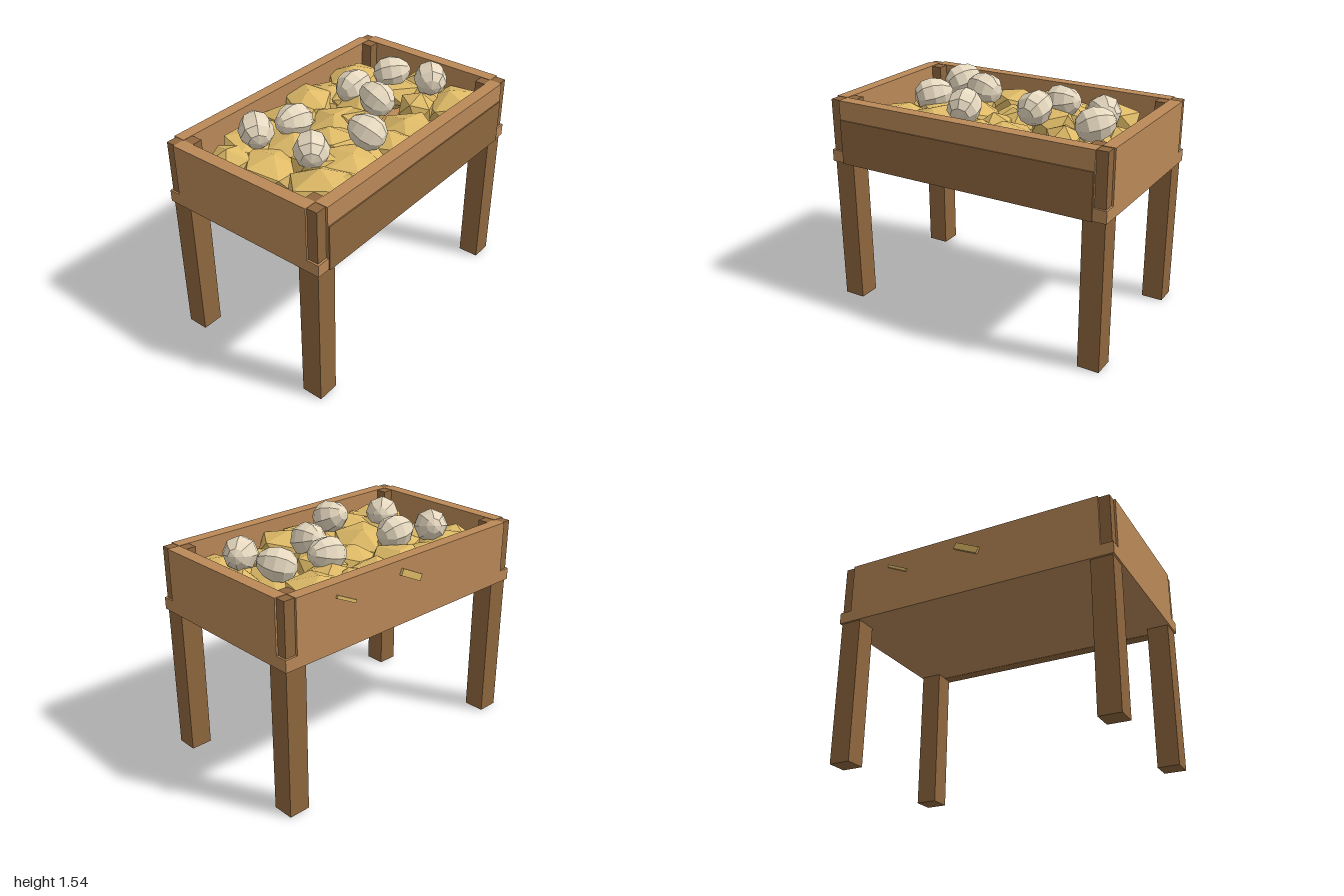
import * as THREE from 'three';

const mat = (name, color, flatShading = false) => {
  const m = new THREE.MeshStandardMaterial({ color, flatShading });
  m.name = name;
  return m;
};

export function createModel() {
  const model = new THREE.Group();
  model.name = 'nestingTable';
  const lightWood = mat('lightWood', 0xba8958);
  const darkWood = mat('darkWood', 0x8f673e);
  const straw = mat('straw', 0xdeba67, true);
  const shell = mat('eggShell', 0xf0e2c8, true);

  // Box given by its minimum and maximum corners
  const box = (name, material, [x0, y0, z0], [x1, y1, z1], parent = model) => {
    const mesh = new THREE.Mesh(new THREE.BoxGeometry(x1 - x0, y1 - y0, z1 - z0), material);
    mesh.position.set((x0 + x1) / 2, (y0 + y1) / 2, (z0 + z1) / 2);
    mesh.name = name;
    parent.add(mesh);
    return mesh;
  };

  // Tray floor and walls, with notched corners that show the posts
  box('trayFloor', lightWood, [-1, 1, -0.595], [1, 1.08, 0.605]);
  box('backWall', lightWood, [-0.915, 1.08, -0.595], [0.915, 1.43, -0.515]);
  box('frontWall', lightWood, [-0.915, 1.08, 0.52], [0.915, 1.43, 0.605]);
  box('frontBoard', darkWood, [-0.91, 0.998, 0.53], [0.91, 1.3, 0.613]);
  box('rightWall', lightWood, [-1, 1.08, -0.515], [-0.915, 1.43, 0.52]);
  box('leftWall', lightWood, [0.915, 1.08, -0.515], [1, 1.43, 0.52]);

  // Legs run up through the corners
  for (const sx of [-1, 1]) for (const sz of [-1, 1]) {
    const x = sx * 0.915, z = sz * 0.514 + 0.005;
    box('leg', darkWood, [x - 0.073, 0, z - 0.072], [x + 0.073, 1.427, z + 0.072]);
  }

  // Straw: overlapping flattened low-poly clumps [x, z, radius]
  const clumps = [
    [-0.75, -0.3, 0.16], [-0.57, -0.33, 0.18], [-0.38, -0.37, 0.18], [-0.13, -0.37, 0.22],
    [0.1, -0.4, 0.18], [0.28, -0.37, 0.18], [0.35, -0.25, 0.17], [0.56, -0.37, 0.22],
    [-0.63, -0.08, 0.2], [-0.37, -0.12, 0.2], [-0.22, 0.05, 0.22], [0, -0.08, 0.22],
    [0.1, 0.04, 0.16], [0.27, -0.07, 0.19], [0.65, -0.08, 0.23], [0.81, 0.03, 0.13],
    [0.51, 0.2, 0.13], [0.74, 0.34, 0.21], [-0.6, 0.3, 0.24], [-0.36, 0.32, 0.22],
    [-0.16, 0.3, 0.2], [0, 0.36, 0.2], [0.18, 0.35, 0.22], [-0.52, 0.42, 0.15],
    [0.02, 0.18, 0.14], [-0.45, 0.14, 0.18], [0.7, 0.15, 0.17],
  ];
  const bedding = new THREE.Group();
  bedding.name = 'strawBedding';
  model.add(bedding);
  clumps.forEach(([x, z, r], i) => {
    const g = new THREE.IcosahedronGeometry(1, 0);
    // One corner up, flattened, then tipped a little differently each time
    g.rotateZ(-0.5536).rotateY(i * 2.4);
    g.scale(r, 0.12, r);
    g.rotateX(0.22 * Math.sin(i * 1.7)).rotateZ(0.22 * Math.cos(i * 2.9));
    const clump = new THREE.Mesh(g, straw);
    clump.position.set(x, 1.265 + 0.02 * Math.sin(i * 2.1), z);
    clump.name = 'strawClump';
    bedding.add(clump);
  });

  // Straw ends poking out through the back wall [x, length, width, depth]
  for (const [x, length, width, depth] of [[0.005, 0.19, 0.045, 0.034], [0.545, 0.165, 0.02, 0.024]]) {
    const end = box('strawEnd', straw, [x - length / 2, 1.315 - width / 2, -0.595 - depth / 2],
      [x + length / 2, 1.315 + width / 2, -0.595 + depth / 2], bedding);
    end.rotation.z = 0.45;
  }

  // Eggs: faceted spheres tapered toward one end, lying down
  const eggShape = new THREE.SphereGeometry(1, 8, 6);
  const p = eggShape.attributes.position;
  for (let i = 0; i < p.count; i++) {
    const y = p.getY(i), w = 0.113 * (1 - 0.13 * y);
    p.setXYZ(i, p.getX(i) * w, y * 0.13, p.getZ(i) * w);
  }
  eggShape.rotateZ(-Math.PI / 2);
  // [x, y, z, yaw, tilt]
  const eggs = [
    [-0.535, 1.42, -0.28, 0.9, 0.3], [-0.3, 1.41, -0.18, 3.0, 0.15],
    [0.31, 1.41, -0.175, -0.1, 0.2], [0.64, 1.41, -0.1, -0.9, 0.2],
    [-0.495, 1.42, 0.135, 0.7, 0.2], [-0.15, 1.435, 0.285, 1.8, 0.4],
    [0.24, 1.425, 0.065, 1.45, 0.3], [0.71, 1.42, 0.17, 0.7, 0.2],
  ];
  for (const [x, y, z, yaw, tilt] of eggs) {
    const egg = new THREE.Mesh(eggShape, shell);
    egg.position.set(x, y, z);
    egg.rotation.set(0, yaw, tilt);
    egg.name = 'egg';
    model.add(egg);
  }
  return model;
}
